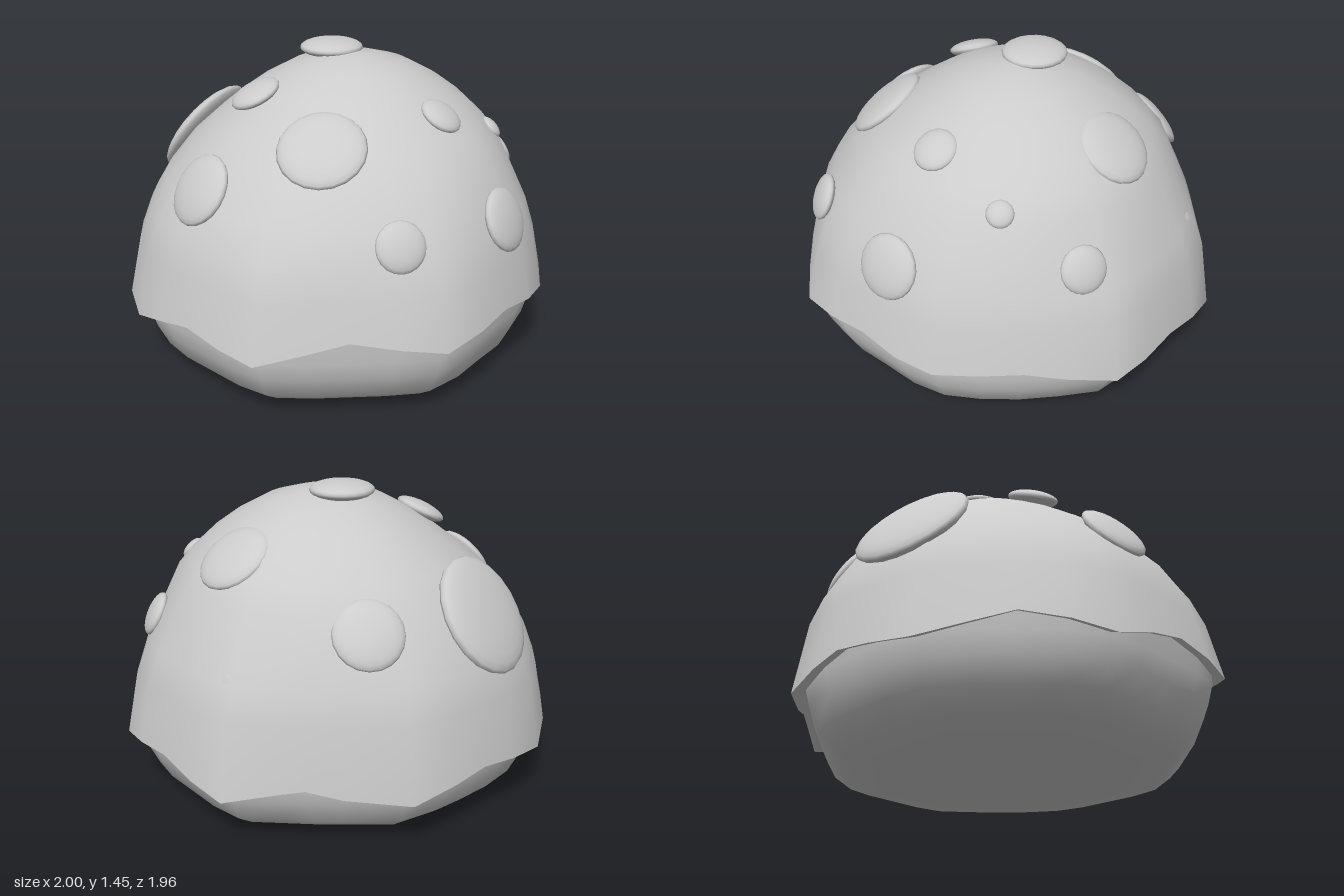
import * as THREE from 'three';

// Rim outline of the cap: x, z, and height of the wavy edge
const OUTLINE = [
  [1, 0, 0.34], [1, 0.2, 0.325], [0.97, 0.37, 0.305], [0.83, 0.54, 0.35],
  [0.7, 0.68, 0.4], [0.55, 0.81, 0.39], [0.38, 0.92, 0.37], [0.2, 0.965, 0.39],
  [0, 0.97, 0.42], [-0.2, 0.98, 0.4], [-0.4, 0.95, 0.37], [-0.55, 0.82, 0.4],
  [-0.7, 0.67, 0.44], [-0.84, 0.53, 0.39], [-0.97, 0.37, 0.33], [-1, 0.2, 0.36],
  [-1, 0, 0.39], [-1, -0.2, 0.35], [-0.97, -0.38, 0.3], [-0.88, -0.55, 0.33],
  [-0.74, -0.7, 0.36], [-0.6, -0.83, 0.31], [-0.41, -0.95, 0.27], [-0.2, -0.98, 0.3],
  [0, -0.98, 0.33], [0.17, -0.97, 0.3], [0.38, -0.93, 0.26], [0.6, -0.74, 0.29],
  [0.72, -0.63, 0.33], [0.8, -0.55, 0.31], [0.97, -0.38, 0.26], [1, -0.2, 0.3],
];

// Profiles: radius factor, height
const DOME = [[0.95, 0.6], [0.9, 0.74], [0.83, 0.87], [0.73, 1.02], [0.64, 1.11],
  [0.54, 1.195], [0.42, 1.28], [0.28, 1.355], [0.14, 1.395], [0, 1.41]];
const BASE = [[0, 0], [0.6, 0.01], [0.78, 0.04], [0.87, 0.11], [0.92, 0.22], [0.945, 0.31], [0.955, 0.46]];

// Spots: centre x, y, z, radius
const SPOTS = [
  [0.1, 0.79, 0.87, 0.145], [0.07, 1.2, 0.53, 0.1], [-0.47, 0.815, 0.74, 0.11],
  [0.45, 1.06, 0.55, 0.06], [0.77, 0.84, 0.39, 0.105], [-0.47, 1.13, 0.31, 0.195],
  [0.07, 1.41, -0.12, 0.15], [0.6, 1.17, -0.02, 0.175], [-0.37, 1.26, -0.19, 0.12],
  [-0.78, 0.93, -0.12, 0.165], [-0.18, 0.93, -0.77, 0.275], [0.4, 0.95, -0.66, 0.155],
  [0.83, 0.74, -0.3, 0.062],
];

const material = new THREE.MeshStandardMaterial({ color: 0xcccccc, side: THREE.DoubleSide });

// Skin a stack of closed rings, listed from bottom to top
function loft(name, rings) {
  const n = OUTLINE.length;
  const index = [];
  for (let j = 0; j < rings.length - 1; j++) {
    for (let i = 0; i < n; i++) {
      const a = j * n + i, b = j * n + (i + 1) % n;
      index.push(a, a + n, b, b, a + n, b + n);
    }
  }
  const geometry = new THREE.BufferGeometry();
  geometry.setAttribute('position', new THREE.Float32BufferAttribute(rings.flat(2), 3));
  geometry.setIndex(index);
  geometry.computeVertexNormals();
  const mesh = new THREE.Mesh(geometry, material);
  mesh.name = name;
  return mesh;
}

// Ring that follows the outline low down and turns round and off-centre higher up
function ring(r, y) {
  const t = THREE.MathUtils.clamp((y - 0.45) / 0.6, 0, 1);
  const shift = 0.07 * THREE.MathUtils.smoothstep(y, 0.8, 1.25);
  return OUTLINE.map(([x, z]) => {
    const k = r * THREE.MathUtils.lerp(1, 1 / Math.hypot(x, z), t);
    return [x * k + shift, y, z * k];
  });
}

// Ring along the wavy rim
const rimRing = (r, lift) => OUTLINE.map(([x, z, y]) => [x * r, y + lift, z * r]);

// Flattened ball lying on the cap surface
function spot([x, y, z, r]) {
  const mesh = new THREE.Mesh(new THREE.SphereGeometry(1, 20, 12), material);
  mesh.name = 'spot';
  mesh.position.set(x, y, z);
  mesh.scale.set(r, 0.02 + 0.15 * r, r);
  const normal = y > 1.35 ? new THREE.Vector3(0, 1, 0) : new THREE.Vector3(x, y - 0.4, z).normalize();
  mesh.quaternion.setFromUnitVectors(new THREE.Vector3(0, 1, 0), normal);
  return mesh;
}

export function createModel() {
  const model = new THREE.Group();
  model.name = 'spottedMound';

  // Rounded base with a flat underside
  model.add(loft('base', BASE.map(([r, y]) => ring(r, y))));

  // Cap with wavy edge, and the lip turned in beneath it
  model.add(loft('cap', [rimRing(1, 0), ...DOME.map(([r, y]) => ring(r, y))]));
  model.add(loft('capLip', [rimRing(0.93, 0.03), rimRing(1, 0)]));

  // Spots scattered over the cap
  const spots = new THREE.Group();
  spots.name = 'spots';
  SPOTS.forEach((s) => spots.add(spot(s)));
  model.add(spots);

  return model;
}
